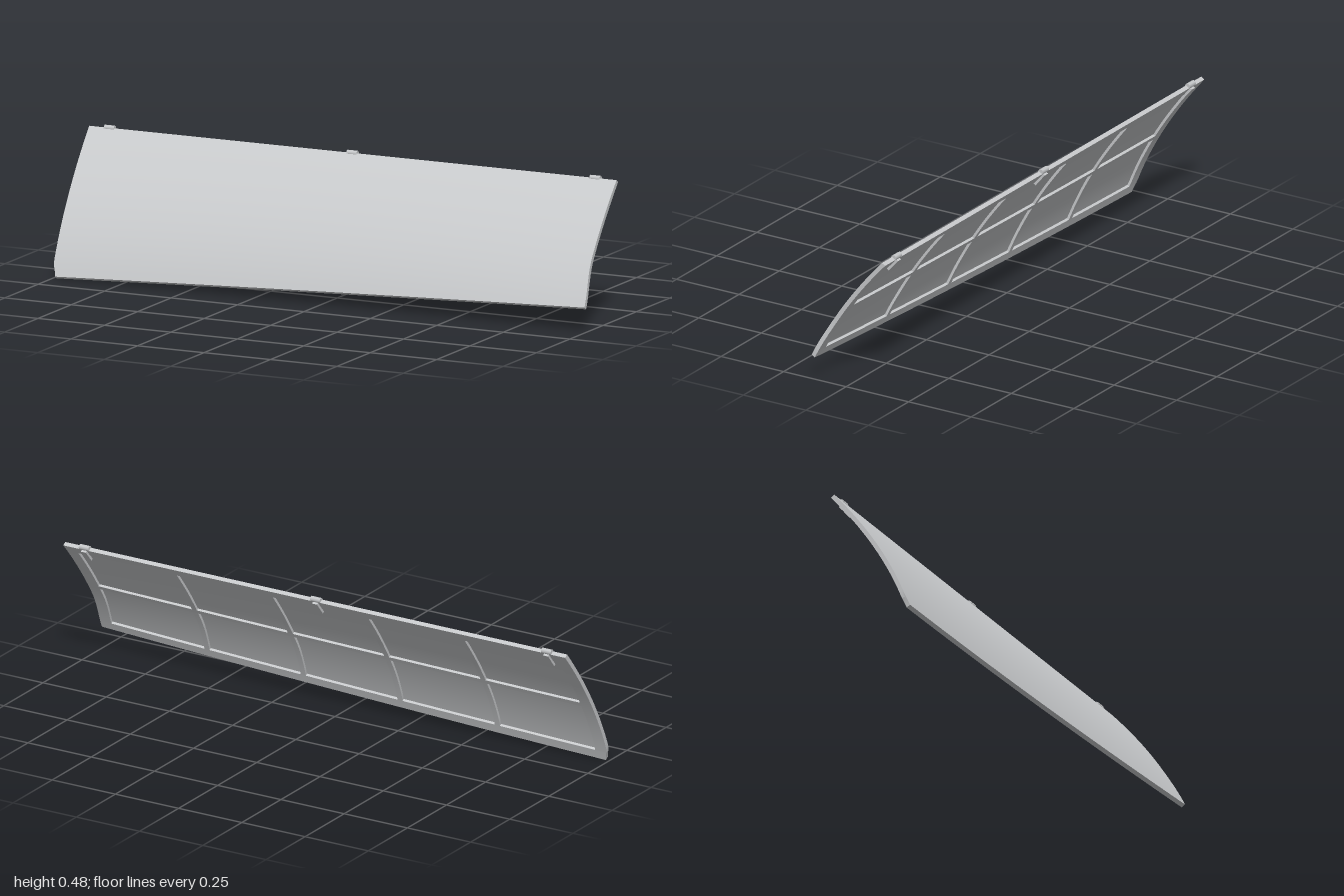
import * as THREE from 'three';

const TOTAL = 0.015; // full thickness at the frame
const SKIN = 0.006;  // thickness of the outer skin
const smooth = THREE.MathUtils.smoothstep;
const lerp = THREE.MathUtils.lerp;

// Point on the twisted, bowed panel: u runs along x, v from top to bottom, w inward from the outer face
function panelPoint(u, v, w) {
  const left = -1 + 0.013 * smooth(v, 0.9, 1);
  const right = 0.984 + 0.015 * smooth(v, 0.6, 1);
  const x = lerp(left, right, u);
  const yBottom = 0.0475 + 0.0395 * x;
  const zBottom = 0.131 - 0.0055 * x + 0.0125 * x * x;
  const bow = 4 * v * (1 - v) * (0.026 - 0.004 * x);
  return [x, lerp(0.473, yBottom, v) - 0.55 * w, lerp(-0.133, zBottom, v) + bow - 0.835 * w];
}

// Block bent to follow the panel
function slab(u0, u1, v0, v1, w0, w1) {
  const nu = Math.max(1, Math.ceil((u1 - u0) * 30));
  const nv = Math.max(1, Math.ceil((v1 - v0) * 24));
  const geo = new THREE.BoxGeometry(1, 1, 1, nu, nv, 1);
  const p = geo.attributes.position;
  for (let i = 0; i < p.count; i++) {
    p.setXYZ(i, ...panelPoint(
      lerp(u0, u1, p.getX(i) + 0.5),
      lerp(v0, v1, 0.5 - p.getY(i)),
      lerp(w0, w1, 0.5 - p.getZ(i))));
  }
  geo.computeVertexNormals();
  return geo;
}

export function createModel() {
  const model = new THREE.Group();
  model.name = 'curvedPanel';
  const grey = new THREE.MeshStandardMaterial({ color: 0xc6c8ca });
  grey.name = 'light grey';

  function add(name, geo, parent = model) {
    const mesh = new THREE.Mesh(geo, grey);
    mesh.name = name;
    parent.add(mesh);
    return mesh;
  }

  // Outer skin
  add('skin', slab(0, 1, 0, 1, 0, SKIN));

  // Raised rim around the back
  const ru = 0.0225, rv = 0.07;
  add('topRim', slab(0, 1, 0, rv, SKIN, TOTAL));
  add('bottomRim', slab(0, 1, 1 - rv, 1, SKIN, TOTAL));
  add('rightRim', slab(0, ru, rv, 1 - rv, SKIN, TOTAL));
  add('leftRim', slab(1 - ru, 1, rv, 1 - rv, SKIN, TOTAL));

  // Ribs dividing the back into two rows of five recesses
  const mid = 0.505, halfV = 0.017, halfU = 0.005;
  add('longRib', slab(ru, 1 - ru, mid - halfV, mid + halfV, SKIN, TOTAL));
  for (let i = 1; i < 5; i++) {
    const u = lerp(ru, 1 - ru, i / 5);
    add('upperRib', slab(u - halfU, u + halfU, rv, mid - halfV, SKIN, TOTAL));
    add('lowerRib', slab(u - halfU, u + halfU, mid + halfV, 1 - rv, SKIN, TOTAL));
  }

  // Hinges along the top edge
  for (const x of [-0.925, -0.012, 0.902]) {
    const hinge = new THREE.Group();
    hinge.name = 'hinge';
    model.add(hinge);
    const pin = add('hingePin', new THREE.CylinderGeometry(0.01, 0.01, 0.038, 8).rotateZ(Math.PI / 2), hinge);
    pin.position.set(x, 0.471, -0.139);
    const u = (x + 1) / 1.984;
    add('hingeTongue', slab(u - 0.005, u + 0.005, 0.005, 0.11, TOTAL - 0.001, TOTAL + 0.008), hinge);
  }
  return model;
}
